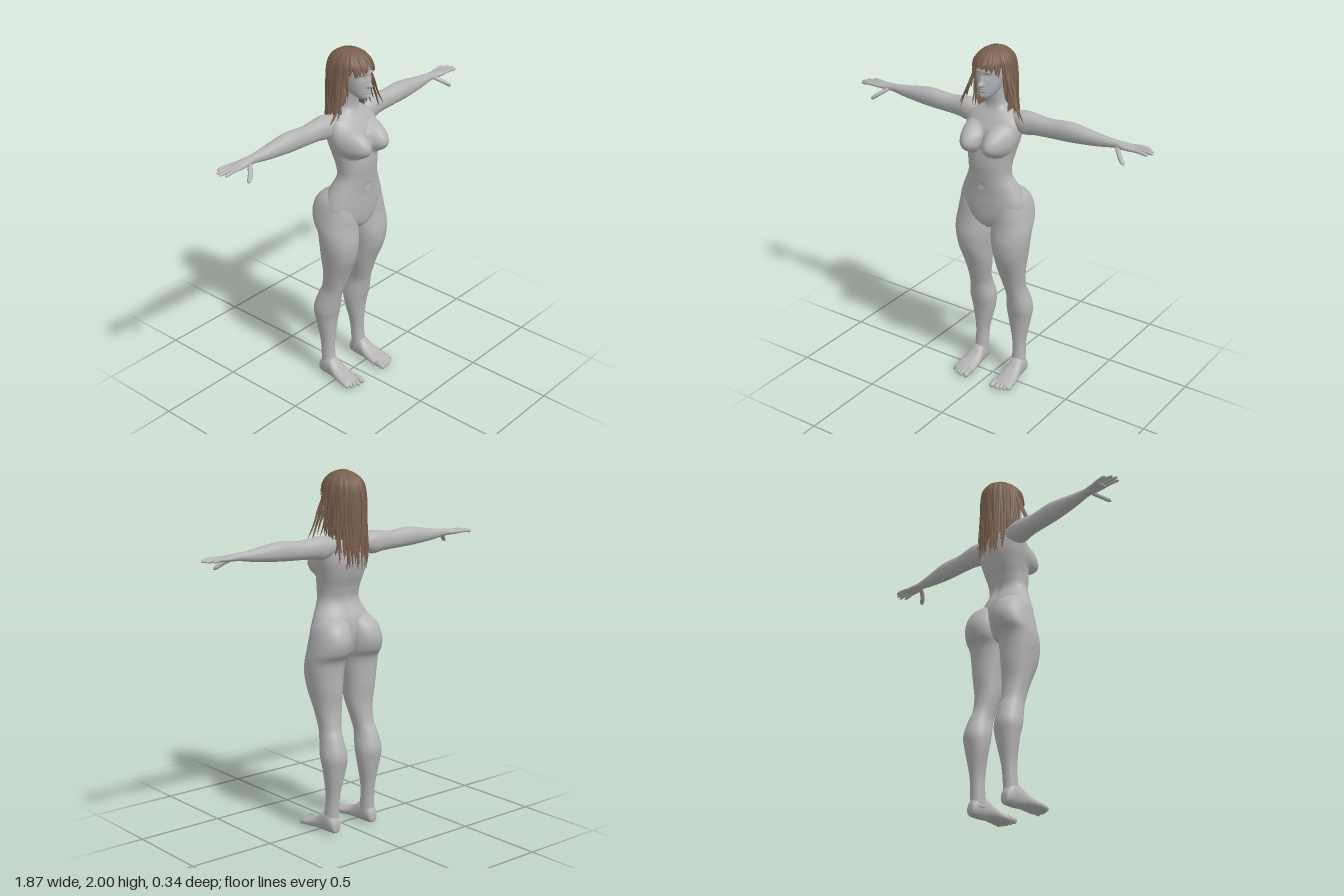
import * as THREE from 'three';

const V = (x, y, z) => new THREE.Vector3(x, y, z);

// Closed smooth skin over a list of equal-length rings, with end caps
function loft(rings) {
  const n = rings[0].length, pos = [], idx = [];
  rings.forEach(r => r.forEach(p => pos.push(p.x, p.y, p.z)));
  for (let i = 0; i < rings.length - 1; i++) for (let j = 0; j < n; j++) {
    const a = i * n + j, b = i * n + (j + 1) % n;
    idx.push(a, a + n, b, b, a + n, b + n);
  }
  [0, rings.length - 1].forEach((r, end) => {
    const c = rings[r].reduce((s, p) => s.add(p), V(0, 0, 0)).divideScalar(n);
    const k = pos.length / 3;
    pos.push(c.x, c.y, c.z);
    for (let j = 0; j < n; j++) {
      const a = r * n + j, b = r * n + (j + 1) % n;
      if (end) idx.push(k, b, a); else idx.push(k, a, b);
    }
  });
  const g = new THREE.BufferGeometry();
  g.setAttribute('position', new THREE.Float32BufferAttribute(pos, 3));
  g.setIndex(idx);
  g.computeVertexNormals();
  return g;
}

// Rows of [t, uLow, uHigh, vLow, vHigh], splined and skinned with oval rings
function limb(rows, steps, seg, place) {
  const cr = (a, b, c, d, s) => b + 0.5 * s * (c - a + s * (2 * a - 5 * b + 4 * c - d + s * (3 * (b - c) + d - a)));
  const rings = [], last = rows.length - 1;
  for (let k = 0; k <= last * steps; k++) {
    const i = Math.min(Math.floor(k / steps), last - 1), s = k / steps - i;
    const at = q => rows[Math.min(last, Math.max(0, q))];
    const [t, u0, u1, v0, v1] = rows[0].map((_, c) => cr(at(i - 1)[c], at(i)[c], at(i + 1)[c], at(i + 2)[c], s));
    rings.push(Array.from({ length: seg }, (_, j) => {
      const a = j / seg * Math.PI * 2, f = w => Math.sign(w) * Math.abs(w) ** 0.92;
      return place(t, (u0 + u1) / 2 + (u1 - u0) / 2 * f(Math.cos(a)), (v0 + v1) / 2 + (v1 - v0) / 2 * f(Math.sin(a)));
    }));
  }
  return loft(rings);
}

// Flattened tube along points; `out` is the thin direction
function strand(points, out, w, t, taper, steps = 14, seg = 6) {
  const curve = new THREE.CatmullRomCurve3(points), rings = [];
  for (let i = 0; i <= steps; i++) {
    const s = i / steps, p = curve.getPoint(s), tan = curve.getTangent(s), f = taper(s);
    const side = tan.clone().cross(out).normalize(), o = side.clone().cross(tan);
    rings.push(Array.from({ length: seg }, (_, j) => {
      const a = j / seg * Math.PI * 2;
      return p.clone().addScaledVector(side, Math.cos(a) * w * f).addScaledVector(o, Math.sin(a) * t * f);
    }));
  }
  return loft(rings);
}

function mirrored(geo) {
  const g = geo.clone().scale(-1, 1, 1), a = g.index.array;
  for (let i = 0; i < a.length; i += 3) [a[i], a[i + 1]] = [a[i + 1], a[i]];
  g.computeVertexNormals();
  return g;
}

export function createModel() {
  const model = new THREE.Group();
  const skin = new THREE.MeshStandardMaterial({ color: 0xb4b4b4 });
  skin.name = 'grey skin';
  const brown = new THREE.MeshStandardMaterial({ color: 0x7a604e, side: THREE.DoubleSide });
  brown.name = 'brown hair';
  const add = (name, geo, mat = skin, parent = model) => {
    const m = new THREE.Mesh(geo, mat);
    m.name = name;
    parent.add(m);
    return m;
  };
  const pair = (name, geo) => { add('left' + name, geo); add('right' + name, mirrored(geo)); };
  const hill = (x, y, cx, cy, sx, sy) => Math.exp(-(((x - cx) / sx) ** 2) - ((y - cy) / sy) ** 2);
  const sym = r => [r[0], -r[1], r[1], r[2], r[3]];

  // Torso and neck, with chest forms, navel and spine groove
  const torso = [
    [0.97, 0.03, -0.04, 0.05], [1.0, 0.09, -0.08, 0.08], [1.05, 0.18, -0.1, 0.093], [1.12, 0.2, -0.11, 0.098],
    [1.2, 0.173, -0.1, 0.1], [1.29, 0.128, -0.064, 0.108], [1.36, 0.127, -0.075, 0.115], [1.43, 0.14, -0.1, 0.112],
    [1.5, 0.158, -0.115, 0.1], [1.56, 0.165, -0.115, 0.08], [1.61, 0.15, -0.11, 0.05], [1.645, 0.105, -0.1, 0.025],
    [1.67, 0.062, -0.085, 0.015], [1.71, 0.05, -0.07, 0.015], [1.8, 0.05, -0.07, 0.03],
  ].map(sym);
  add('torso', limb(torso, 8, 72, (y, x, z) => {
    if (z > 0) {
      const d = ((Math.abs(x) - 0.083) / 0.078) ** 2 + ((y - 1.49) / (y < 1.49 ? 0.07 : 0.1)) ** 2;
      if (d < 1) z += 0.082 * (1 - d) ** 0.8;
      z -= 0.012 * hill(x, y, 0, 1.24, 0.01, 0.012);
    } else z += 0.014 * hill(x, y, 0, 1.38, 0.025, 0.13);
    return V(x, y, z);
  }));

  // Head with sculpted nose, brows, eyes, lips and chin
  const head = [
    [1.735, 0.016, 0.05, 0.085], [1.747, 0.034, 0.01, 0.1], [1.77, 0.05, -0.04, 0.103], [1.8, 0.061, -0.07, 0.103],
    [1.84, 0.069, -0.09, 0.102], [1.88, 0.073, -0.105, 0.104], [1.92, 0.072, -0.105, 0.1], [1.95, 0.062, -0.09, 0.08],
    [1.972, 0.04, -0.06, 0.04], [1.982, 0.01, -0.02, 0],
  ].map(sym);
  add('head', limb(head, 9, 72, (y, x, z) => {
    const ax = Math.abs(x);
    if (z > 0.02) z += 0.026 * hill(x, y, 0, 1.815, 0.011, 0.013) + 0.014 * hill(x, y, 0, 1.838, 0.009, 0.024)
      + 0.006 * hill(ax, y, 0.012, 1.812, 0.006, 0.007) - 0.012 * hill(ax, y, 0.031, 1.862, 0.017, 0.012)
      + 0.007 * hill(ax, y, 0.031, 1.86, 0.011, 0.006) + 0.005 * hill(ax, y, 0.03, 1.885, 0.02, 0.007)
      + 0.01 * hill(x, y, 0, 1.793, 0.018, 0.005) + 0.009 * hill(x, y, 0, 1.781, 0.016, 0.005)
      - 0.004 * hill(x, y, 0, 1.787, 0.02, 0.003) + 0.004 * hill(x, y, 0, 1.752, 0.015, 0.01);
    return V(x, y, z);
  }));

  // Legs, from ankle up into the hip
  pair('Leg', limb([
    [0.05, 0.092, 0.172, -0.122, -0.02], [0.12, 0.092, 0.168, -0.12, -0.04], [0.23, 0.087, 0.167, -0.13, -0.045],
    [0.37, 0.057, 0.19, -0.155, -0.035], [0.45, 0.051, 0.2, -0.165, -0.017], [0.54, 0.063, 0.185, -0.138, 0],
    [0.6, 0.057, 0.178, -0.113, 0.017], [0.7, 0.036, 0.19, -0.1, 0.05], [0.81, 0.025, 0.21, -0.108, 0.093],
    [0.9, 0.013, 0.225, -0.11, 0.105], [0.97, 0.006, 0.229, -0.12, 0.097], [1.02, 0.003, 0.225, -0.155, 0.09],
    [1.08, 0.003, 0.215, -0.17, 0.085], [1.14, 0.006, 0.2, -0.155, 0.075], [1.18, 0.012, 0.178, -0.125, 0.06],
    [1.22, 0.04, 0.13, -0.07, 0.03],
  ], 6, 40, (y, x, z) => V(x, y, z)));

  // Feet and toes
  pair('Foot', limb([
    [-0.132, 0.025, 0.045, 0.122, 0.145], [-0.125, 0.006, 0.08, 0.105, 0.163], [-0.09, 0, 0.125, 0.095, 0.174],
    [-0.04, 0, 0.12, 0.09, 0.178], [0, 0.004, 0.085, 0.084, 0.186], [0.05, 0.003, 0.06, 0.079, 0.196],
    [0.1, 0, 0.045, 0.077, 0.201], [0.125, 0.004, 0.033, 0.084, 0.194],
  ], 5, 28, (z, y, x) => V(x, y, z)));
  const round = s => 0.25 + 0.75 * Math.sqrt(1 - Math.max(0, (s - 0.75) / 0.25) ** 2);
  [[0.094, 0.157, 0.017], [0.124, 0.153, 0.012], [0.147, 0.146, 0.0115], [0.169, 0.137, 0.011], [0.189, 0.125, 0.011]]
    .forEach(([x, z, r], i) => pair('Toe' + (i + 1),
      strand([V(x, 0.028, z - 0.06), V(x, 0.026, z - 0.03), V(x, r, z)], V(0, 1, 0), r, r, round, 10, 12)));

  // Arms and palms
  pair('Arm', limb([
    [0.1, -0.095, -0.01, 1.56, 1.64], [0.17, -0.108, 0.008, 1.532, 1.658], [0.24, -0.105, 0, 1.54, 1.653],
    [0.32, -0.1, -0.005, 1.545, 1.646], [0.44, -0.1, -0.004, 1.55, 1.655], [0.52, -0.097, -0.009, 1.556, 1.647],
    [0.62, -0.088, -0.02, 1.566, 1.632], [0.71, -0.08, -0.03, 1.58, 1.622], [0.76, -0.088, -0.022, 1.583, 1.618],
    [0.81, -0.096, -0.017, 1.586, 1.612], [0.835, -0.09, -0.025, 1.59, 1.608],
  ], 6, 32, (x, z, y) => V(x, y, z)));

  // Fingers and thumb
  [[-0.088, -0.1, 0.895], [-0.068, -0.076, 0.925], [-0.047, -0.05, 0.935], [-0.027, -0.022, 0.918]]
    .forEach(([z0, z1, tip], i) => pair('Finger' + (i + 1),
      strand([V(0.8, 1.6, z0), V(0.86, 1.602, (z0 + z1) / 2), V(tip, 1.596, z1)], V(0, 1, 0), 0.0095, 0.009, round, 12, 10)));
  pair('Thumb', strand([V(0.735, 1.595, -0.04), V(0.775, 1.565, 0.005), V(0.812, 1.537, 0.028)], V(0, 1, 0), 0.013, 0.011, round, 12, 10));

  // Hair: scalp cap, back curtain, then layered locks
  const hair = new THREE.Group();
  hair.name = 'hair';
  model.add(hair);
  const cap = add('hairCap', new THREE.SphereGeometry(1, 40, 16, 0, Math.PI * 2, 0, Math.PI * 0.43), brown, hair);
  cap.scale.set(0.1, 0.115, 0.127);
  cap.position.set(0, 1.876, -0.02);
  const curtain = add('hairBack', new THREE.CylinderGeometry(1, 0.9, 0.32, 40, 6, true, Math.PI * 0.46, Math.PI * 1.08), brown, hair);
  curtain.scale.set(0.1, 1, 0.126);
  curtain.position.set(0, 1.76, -0.02);

  let seed = 7;
  const rnd = () => (seed = (seed * 16807) % 2147483647) / 2147483647;
  const tip = s => (0.6 + 0.4 * Math.min(1, s * 4)) * Math.sqrt(Math.max(0.01, 1 - s ** 3));
  const lock = (deg, endY, spread, w) => {
    const a = deg * Math.PI / 180, dir = V(Math.sin(a), 0, Math.cos(a)), k = 0.96 + rnd() * 0.08;
    const at = (f, y, twist = 0) => V(Math.sin(a + twist) * 0.106 * f * k, y, -0.02 + Math.cos(a + twist) * 0.134 * f * k);
    const path = [at(0.12, 1.987 + rnd() * 0.008), at(0.55, 1.971), at(0.88, 1.93)];
    if (endY > 1.84) path.push(at(1.02, endY, (rnd() - 0.5) * 0.3));
    else {
      const fall = s => 1.87 + (endY - 1.87) * s, j = () => (rnd() - 0.5) * 0.16;
      path.push(at(1, 1.87), at(1 + spread * 0.3, fall(0.35), j()), at(1 + spread * 0.65, fall(0.7), j()), at(1 + spread, endY, j()));
    }
    add('hairLock', strand(path, dir, w, 0.006, tip, 20), brown, hair);
  };
  // fringe
  for (let d = -54; d <= 54; d += 6) lock(d, 1.925 - Math.abs(d) * 0.0009 - rnd() * 0.02, 0, 0.012);
  // back and sides, longest in the middle
  for (let layer = 0; layer < 2; layer++) for (let d = 82 + layer * 3; d <= 278; d += 6) {
    const mid = 1 - Math.abs(d - 180) / 98;
    lock(d, 1.66 - 0.17 * Math.min(1, mid * 1.6) + rnd() * 0.07 - 0.02, 0.05 + (1 - mid) * 0.25 * rnd(), 0.011);
  }
  // long locks framing the face
  [-1, 1].forEach(s => [[66, 1.74, 0.1], [71, 1.69, 0.45], [76, 1.64, 0.85], [80, 1.61, 0.9], [85, 1.66, 0.6]]
    .forEach(([d, y, f]) => lock(s * d, y + (s < 0 ? 0.02 : 0), f, 0.011)));

  return model;
}
